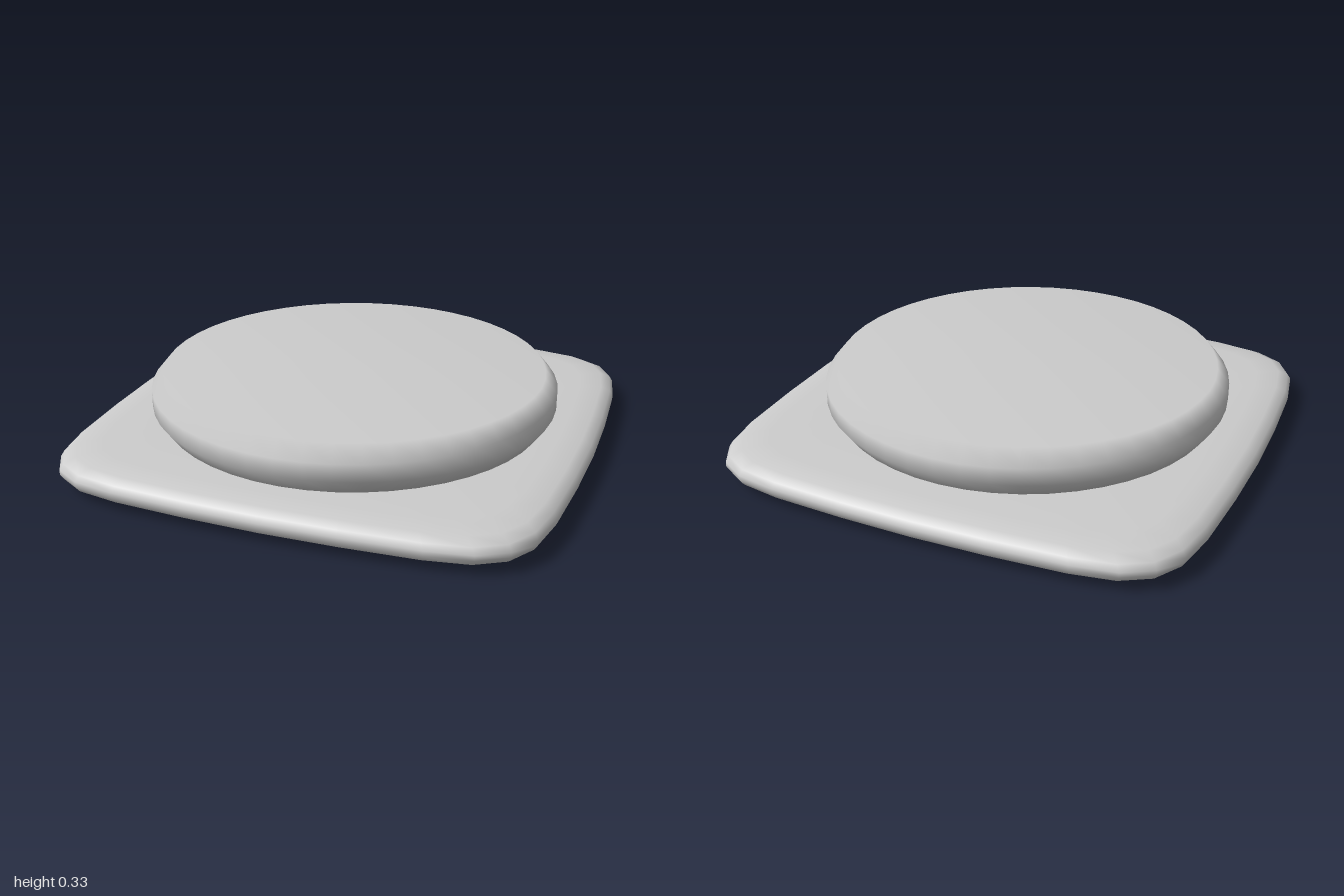
import * as THREE from 'three';
import { mergeVertices } from 'three/addons/utils/BufferGeometryUtils.js';

const material = () => new THREE.MeshStandardMaterial({ color: 0xcccccc });
const profile = (pts) => pts.map(([r, y]) => new THREE.Vector2(r, y));

// Bulging rounded-square outline: one eighth, mirrored to a quadrant, turned four times
function squareOutline() {
  const eighth = [[0, 1], [0.3, 0.993], [0.6, 0.975], [0.77, 0.945], [0.88, 0.88]];
  const quadrant = [...eighth, ...eighth.slice(1, 4).reverse().map(([x, z]) => [z, x])];
  const loop = [];
  for (let q = 0; q < 4; q++) {
    for (const [x, z] of quadrant) {
      loop.push([[x, z], [z, -x], [-x, -z], [-z, x]][q]);
    }
  }
  return loop;
}

// Lathe whose rings are reshaped from circles to the rounded square
function pillowGeometry(pts) {
  const outline = squareOutline();
  const lathe = new THREE.LatheGeometry(profile(pts), outline.length);
  const pos = lathe.attributes.position;
  for (let i = 0; i < pos.count; i++) {
    const [x, z] = outline[Math.floor(i / pts.length) % outline.length];
    const r = pts[i % pts.length][0];
    pos.setX(i, x * r);
    pos.setZ(i, z * r);
  }
  lathe.deleteAttribute('normal');
  lathe.deleteAttribute('uv');
  const geometry = mergeVertices(lathe);
  geometry.computeVertexNormals();
  return geometry;
}

export function createModel() {
  const model = new THREE.Group();
  model.name = 'squareButton';

  // Soft-edged square base plate
  const base = new THREE.Mesh(pillowGeometry([
    [0, 0], [0.6, 0.004], [0.86, 0.01], [0.95, 0.022], [0.987, 0.042], [1, 0.065],
    [1, 0.085], [0.987, 0.108], [0.95, 0.128], [0.86, 0.138], [0.6, 0.142], [0, 0.144],
  ]), material());
  base.name = 'basePlate';

  // Round flat-topped cap with a bevelled rim
  const cap = new THREE.Mesh(new THREE.LatheGeometry(profile([
    [0, 0.13], [0.78, 0.13], [0.83, 0.2], [0.83, 0.27], [0.78, 0.33], [0, 0.33],
  ]), 48), material());
  cap.name = 'roundCap';
  cap.position.z = 0.02;

  model.add(base, cap);
  return model;
}
